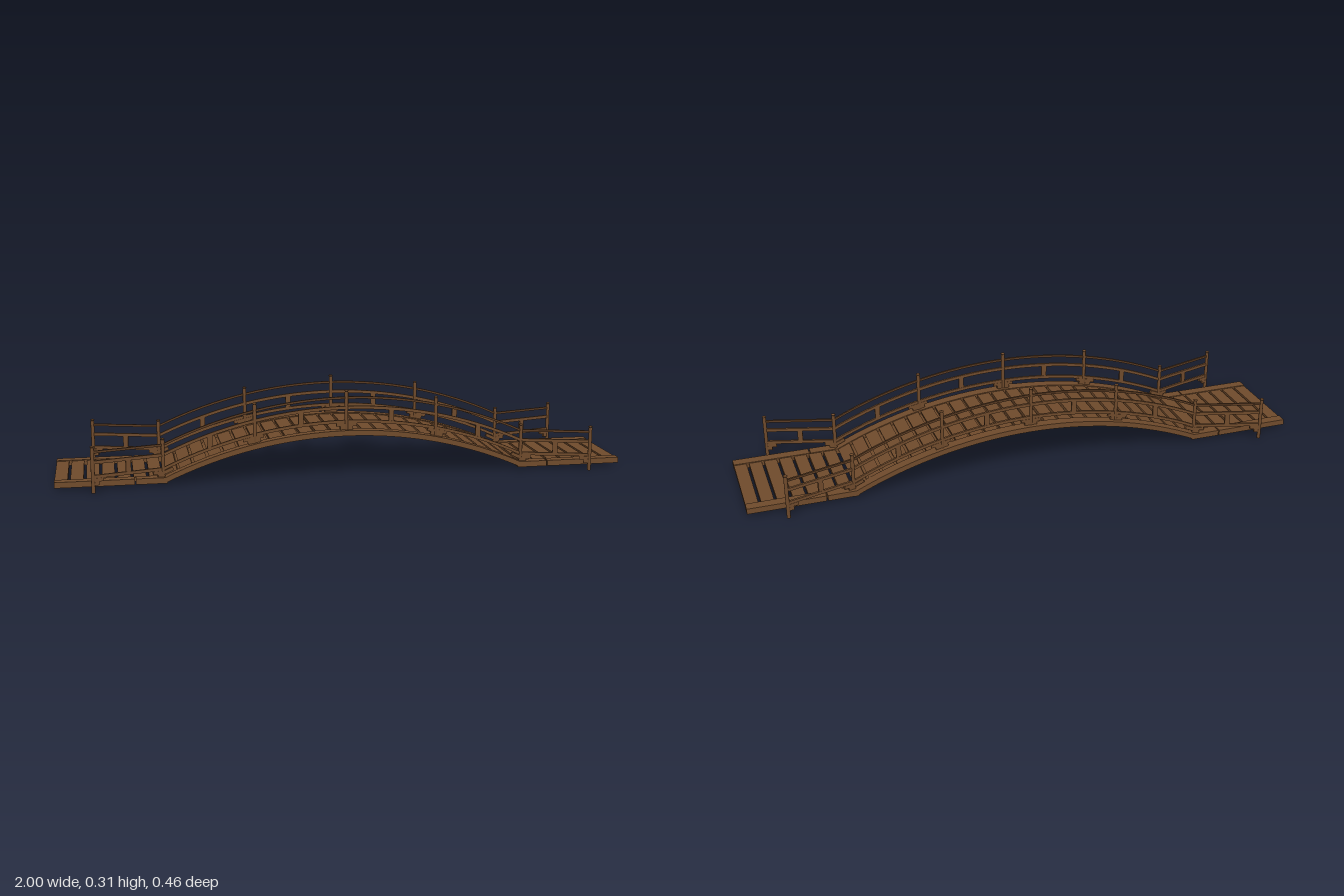
import * as THREE from 'three';

const wood = new THREE.MeshStandardMaterial({ color: 0x704b2c });
const darkWood = new THREE.MeshStandardMaterial({ color: 0x5a3b22 });

// Deck centre line: a circular arch between two flat landings
const HALF = 0.635, BASE = 0.02, RISE = 0.141, R = 1.5;
const deckY = x => BASE + RISE - R + Math.sqrt(R * R - x * x);
const slope = x => -Math.asin(x / R);
const RAIL_Z = 0.155;
const RAILS = [
  { name: 'topRail', y: 0.12, h: 0.008, d: 0.007, mat: darkWood },
  { name: 'middleRail', y: 0.085, h: 0.011, d: 0.008, mat: wood },
  { name: 'lowerRail', y: 0.036, h: 0.011, d: 0.008, mat: wood },
];

function add(parent, name, geometry, x, y, z, mat = wood) {
  const mesh = new THREE.Mesh(geometry, mat);
  mesh.name = name;
  mesh.position.set(x, y, z);
  parent.add(mesh);
  return mesh;
}

const box = (parent, name, w, h, d, x, y, z, mat) =>
  add(parent, name, new THREE.BoxGeometry(w, h, d), x, y, z, mat);

// Curved bar that follows the arch at a height above the deck line
function archBar(parent, name, offset, height, depth, z, mat) {
  const shape = new THREE.Shape(), n = 32;
  for (let i = 0; i <= n; i++) {
    const x = -HALF + 2 * HALF * i / n;
    shape[i ? 'lineTo' : 'moveTo'](x, deckY(x) + offset - height / 2);
  }
  for (let i = n; i >= 0; i--) {
    const x = -HALF + 2 * HALF * i / n;
    shape.lineTo(x, deckY(x) + offset + height / 2);
  }
  const geometry = new THREE.ExtrudeGeometry(shape, { depth, bevelEnabled: false });
  add(parent, name, geometry, 0, 0, z - depth / 2, mat);
}

// Round post with a narrow neck and a flattened knob
function post(parent, x, bottom, top, z) {
  const r = 0.0065, profile = [
    [0, bottom], [r, bottom], [r, top - 0.009], [r * 0.75, top - 0.008], [r * 0.75, top - 0.006],
    [r * 1.15, top - 0.005], [r * 1.1, top - 0.003], [r * 0.6, top - 0.001], [0, top],
  ].map(p => new THREE.Vector2(...p));
  add(parent, 'post', new THREE.LatheGeometry(profile, 10), x, 0, z);
}

// Flat landing with cross planks and two edge boards on each side
function landing(parent, side) {
  const g = new THREE.Group();
  g.name = 'landing';
  const count = 7, pitch = 0.37 / count;
  for (let i = 0; i < count; i++)
    box(g, 'landingPlank', pitch - 0.009, 0.014, 0.285, side * (1 - pitch * (i + 0.5) + 0.004), BASE, 0);
  for (const z of [-0.157, 0.157]) {
    box(g, 'edgeBoard', 0.268, 0.02, 0.036, side * 0.866, BASE, z);
    box(g, 'edgeBoard', 0.106, 0.02, 0.036, side * 0.675, BASE, z);
  }
  parent.add(g);
}

// Arched walkway: planks, battens beneath the gaps, and edge beams
function archDeck(parent) {
  const g = new THREE.Group();
  g.name = 'archDeck';
  const count = 24, end = Math.asin(0.63 / R), step = 2 * end / count;
  for (let i = 0; i < count; i++) {
    const x = R * Math.sin(-end + step * (i + 0.5));
    box(g, 'archPlank', R * step - 0.009, 0.012, 0.285, x, deckY(x) - 0.002, 0).rotation.z = slope(x);
    if (i === 0) continue;
    const bx = R * Math.sin(-end + step * i);
    box(g, 'batten', 0.03, 0.004, 0.285, bx, deckY(bx) - 0.0095, 0).rotation.z = slope(bx);
  }
  for (const z of [-0.157, 0.157]) archBar(g, 'archBeam', -0.002, 0.019, 0.036, z);
  parent.add(g);
}

// Stepped bracket under the lower rail, centred on a post
function bracket(parent, x, z) {
  const g = new THREE.Group();
  g.name = 'bracket';
  g.position.set(x, deckY(x), z);
  g.rotation.z = slope(x);
  box(g, 'bracketUpper', 0.072, 0.011, 0.01, 0, 0.025, 0);
  box(g, 'bracketLower', 0.045, 0.012, 0.01, 0, 0.014, 0);
  parent.add(g);
}

// Railing along one edge of the arch
function archRailing(parent, z) {
  const g = new THREE.Group();
  g.name = 'archRailing';
  for (const r of RAILS) archBar(g, r.name, r.y, r.h, r.d, z, r.mat);
  for (const x of [-0.32, 0, 0.32]) {
    post(g, x, deckY(x), deckY(x) + 0.149, z);
    bracket(g, x, z);
  }
  for (const s of [-1, 1]) {
    post(g, s * HALF, 0.012, 0.165, z);
    for (const x of [0.16, 0.475])
      box(g, 'strut', 0.018, 0.046, 0.007, s * x, deckY(x) + 0.06, z);
    // half bracket at the foot of the arch
    const foot = box(g, 'footBracket', 0.035, 0.012, 0.01, s * 0.617, deckY(0.617) + 0.022, z);
    foot.rotation.z = slope(s * 0.617);
  }
  parent.add(g);
}

// Straight railing that flares outward beside a landing
function wingRailing(parent, sx, sz) {
  const g = new THREE.Group();
  g.name = 'wingRailing';
  const dx = sx * 0.235, dz = sz * 0.067, length = Math.hypot(dx, dz);
  g.position.set(sx * HALF, 0, sz * RAIL_Z);
  g.rotation.y = Math.atan2(-dz, dx);
  for (const r of RAILS) box(g, r.name, length, r.h, r.d, length / 2, BASE + r.y, 0, r.mat);
  box(g, 'strut', 0.018, 0.046, 0.007, length / 2, BASE + 0.06, 0);
  for (const [x, s] of [[0, 1], [length, -1]]) {
    box(g, 'bracketUpper', 0.036, 0.012, 0.01, x + s * 0.018, 0.045, 0);
    box(g, 'bracketLower', 0.02, 0.013, 0.01, x + s * 0.01, 0.033, 0);
  }
  post(g, length, 0, 0.162, 0);
  parent.add(g);
}

export function createModel() {
  const model = new THREE.Group();
  model.name = 'archedFootbridge';
  archDeck(model);
  for (const s of [-1, 1]) {
    landing(model, s);
    archRailing(model, s * RAIL_Z);
    for (const sx of [-1, 1]) wingRailing(model, sx, s);
  }
  return model;
}
